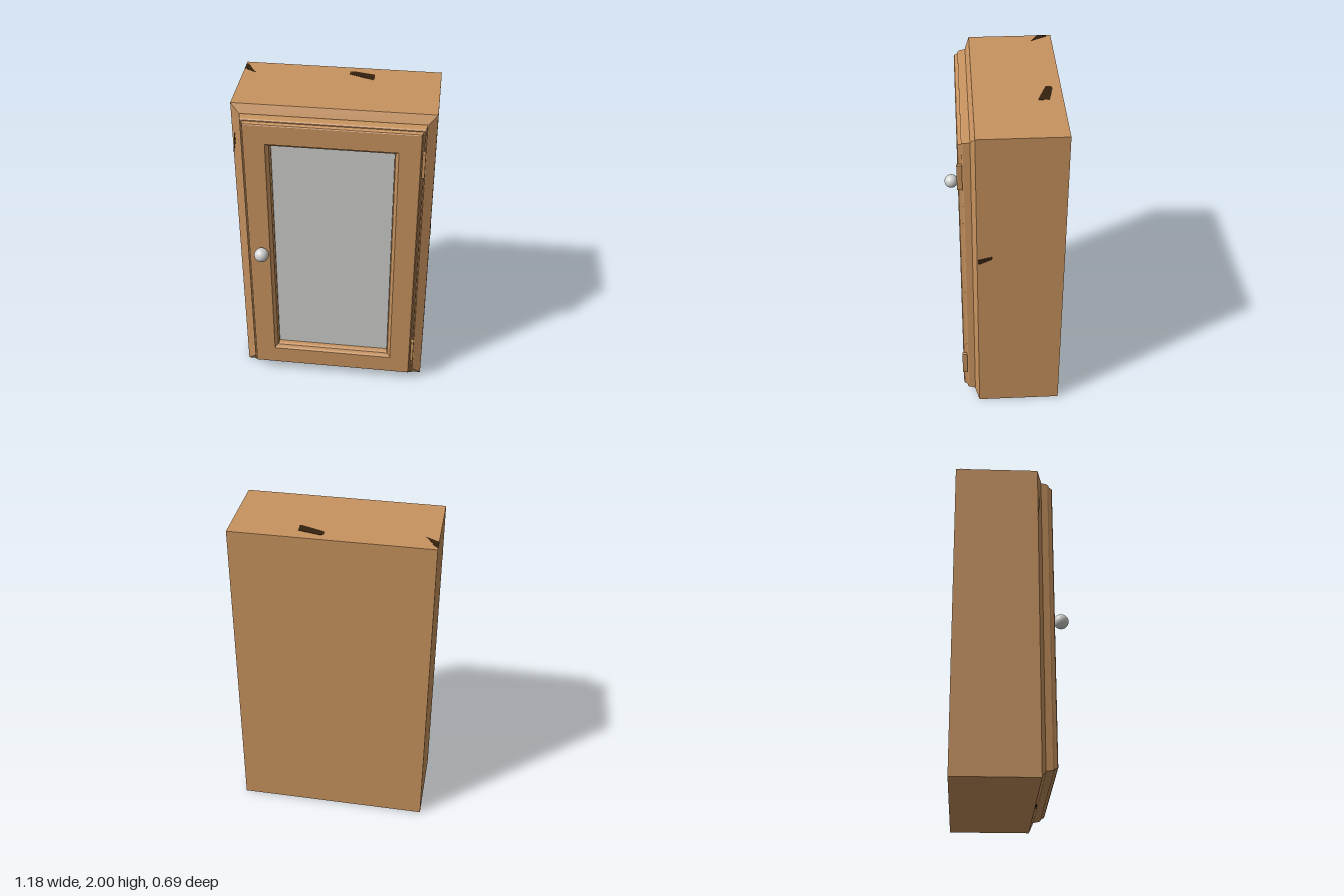
import * as THREE from 'three';

const mat = (name, color) => {
  const m = new THREE.MeshStandardMaterial({ color });
  m.name = name;
  return m;
};

// Nested rectangular rings joined into a mitred moulding; profile is [inset, z]
function mouldingGeometry(profile, halfW, halfH, midY) {
  const corners = ([d, z]) => [[-1, -1], [1, -1], [1, 1], [-1, 1]].map(
    ([sx, sy]) => [sx * (halfW - d), midY + sy * (halfH - d), z]);
  const pos = [];
  for (let i = 0; i < profile.length - 1; i++) {
    const a = corners(profile[i]), b = corners(profile[i + 1]);
    for (let k = 0; k < 4; k++) {
      const n = (k + 1) % 4;
      pos.push(...a[k], ...a[n], ...b[n], ...a[k], ...b[n], ...b[k]);
    }
  }
  const g = new THREE.BufferGeometry();
  g.setAttribute('position', new THREE.Float32BufferAttribute(pos, 3));
  g.computeVertexNormals();
  return g;
}

// Thin irregular patch lying on a surface
function patchGeometry(points) {
  const shape = new THREE.Shape(points.map(([x, y]) => new THREE.Vector2(x, y)));
  return new THREE.ExtrudeGeometry(shape, { depth: 0.003, bevelEnabled: false });
}

export function createModel() {
  const wood = mat('wood', 0xc8935f);
  const glass = mat('glass', 0xcdcdca);
  const metal = mat('knob metal', 0xd2d2d0);
  const dark = mat('dark scuff', 0x35220f);

  const model = new THREE.Group();
  model.name = 'wallCabinet';
  const add = (name, geometry, material, x = 0, y = 0, z = 0) => {
    const mesh = new THREE.Mesh(geometry, material);
    mesh.name = name;
    mesh.position.set(x, y, z);
    model.add(mesh);
    return mesh;
  };

  // Cabinet carcass
  add('body', new THREE.BoxGeometry(1.18, 2, 0.51), wood, 0, 1, -0.095);

  // Bevelled front edge of the carcass
  add('frontBevel', mouldingGeometry([[0, 0.16], [0.05, 0.185], [0.07, 0.185]], 0.59, 1, 1), wood);

  // Door frame with stepped outer edge, flat face and inner lip
  add('doorFrame', mouldingGeometry([
    [0.053, 0.18], [0.06, 0.225], [0.066, 0.233], [0.072, 0.233], [0.079, 0.252],
    [0.085, 0.256], [0.205, 0.256], [0.211, 0.243], [0.224, 0.235], [0.23, 0.22], [0.23, 0.195],
  ], 0.59, 1, 1), wood);

  // Door panel
  add('glassPane', new THREE.BoxGeometry(0.74, 1.58, 0.008), glass, 0, 1, 0.196);

  // Hinges on the right-hand edge of the door
  for (const y of [0.28, 1.72])
    add('hinge', new THREE.BoxGeometry(0.018, 0.16, 0.03), wood, 0.527, y, 0.247);

  // Round door knob
  add('knob', new THREE.SphereGeometry(0.045, 32, 20), metal, -0.43, 1.025, 0.3);

  // Dark worn patches: two on top, one on the side, two on the front bevel
  const topPatches = [
    [[-0.59, 0.265], [-0.515, 0.222], [-0.528, 0.238], [-0.575, 0.322], [-0.59, 0.322]],
    [[0.048, 0.262], [0.19, 0.209], [0.199, 0.215], [0.196, 0.272], [0.073, 0.3], [0.047, 0.294]],
  ];
  for (const p of topPatches)
    add('topScuff', patchGeometry(p), dark, 0, 1.999, 0).rotation.x = -Math.PI / 2;
  add('sideScuff', patchGeometry([
    [-0.154, 1.146], [-0.143, 1.146], [-0.074, 1.178], [-0.069, 1.199], [-0.154, 1.178],
  ]), dark, 0.589, 0, 0).rotation.y = Math.PI / 2;
  const tilt = Math.atan2(0.025, 0.05);
  add('lowerBevelScuff', patchGeometry([
    [-0.07, 0.006], [-0.03, 0.004], [0.09, 0.022], [0.117, 0.044], [0, 0.026],
  ]), dark, 0, 0, 0.159).rotation.x = tilt;
  add('edgeScuff', patchGeometry([
    [0, 1.67], [0.005, 1.68], [0.02, 1.75], [0.018, 1.82],
  ]), dark, -0.59, 0, 0.159).rotation.y = -tilt;

  return model;
}
